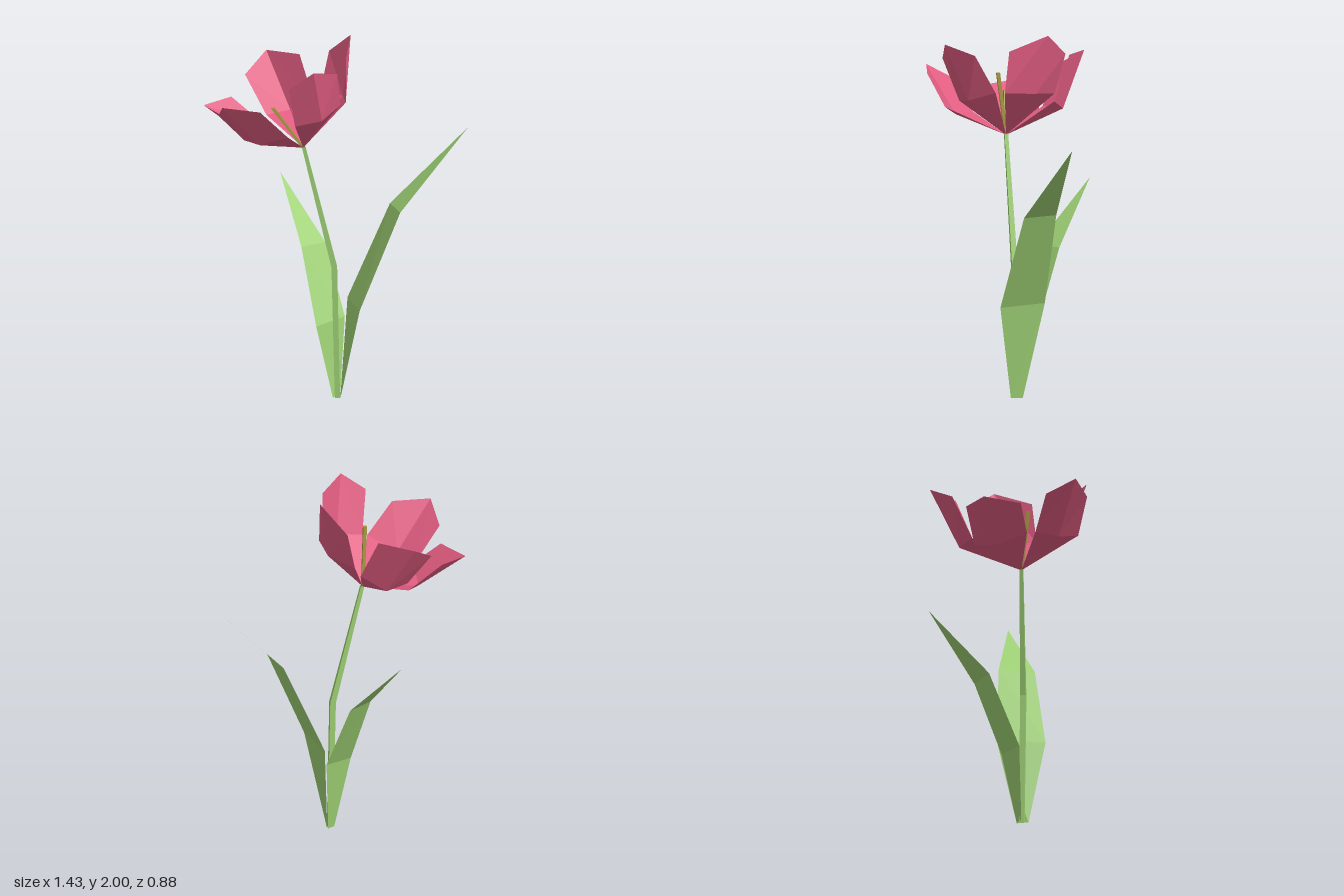
import * as THREE from 'three';

const make = (name, color) => {
  const m = new THREE.MeshStandardMaterial({ color, flatShading: true, side: THREE.DoubleSide });
  m.name = name;
  return m;
};

// Faceted sheet from cross-section rows; a one-point row closes to a tip.
function sheet(rows) {
  const pos = [];
  const width = Math.max(...rows.map(r => r.length));
  const at = (row, i) => row[Math.min(i, row.length - 1)];
  const tri = (a, b, c) => {
    if (a !== b && b !== c && a !== c) pos.push(...a, ...b, ...c);
  };
  for (let r = 0; r < rows.length - 1; r++) {
    for (let i = 0; i < width - 1; i++) {
      const a = at(rows[r], i), b = at(rows[r], i + 1);
      const c = at(rows[r + 1], i + 1), d = at(rows[r + 1], i);
      tri(a, b, c);
      tri(a, c, d);
    }
  }
  const g = new THREE.BufferGeometry();
  g.setAttribute('position', new THREE.Float32BufferAttribute(pos, 3));
  g.computeVertexNormals();
  return g;
}

// Tapered rod through a list of [x, y, z, radius] points.
function rod(points, sides) {
  const rows = points.map(([x, y, z, r]) => {
    const ring = [];
    for (let i = 0; i < sides; i++) {
      const a = -(i / sides) * Math.PI * 2 + Math.PI / 4;
      ring.push([x + r * Math.cos(a), y, z + r * Math.sin(a)]);
    }
    return [...ring, ring[0].slice()];
  });
  return sheet(rows);
}

export function createModel() {
  const model = new THREE.Group();
  model.name = 'flower';
  const green = make('leaf green', 0x9ed074);
  const pink = make('petal pink', 0xe05c80);
  const olive = make('stamen olive', 0xa39640);
  const add = (name, geometry, material) => {
    const mesh = new THREE.Mesh(geometry, material);
    mesh.name = name;
    model.add(mesh);
  };

  const base = [-0.18, 1.415, 0.05];

  // Bent stem
  add('stem', rod([
    [0.005, 0, 0.03, 0.02],
    [-0.012, 0.74, 0.04, 0.022],
    [-0.178, 1.42, 0.05, 0.014],
  ], 4), green);

  // Two folded leaves, each ending in a point
  add('leftLeaf', sheet([
    [[0.02, 0, 0.065], [0.025, 0, 0]],
    [[0.125, 0.52, 0.145], [0.06, 0.525, -0.115]],
    [[0.345, 1.05, 0.06], [0.29, 1.05, -0.13]],
    [[0.715, 1.48, -0.13]],
  ]), green);
  add('backLeaf', sheet([
    [[0.02, 0, 0], [-0.02, 0, 0.03]],
    [[0.045, 0.425, -0.085], [-0.11, 0.4, 0.03]],
    [[-0.06, 0.805, -0.22], [-0.19, 0.805, -0.125]],
    [[-0.305, 1.14, -0.44]],
  ]), green);

  // Petals: middle row and outer row, joined at the flower base
  const petals = {
    rightPetal: [
      [[-0.39, 1.48, -0.18], [-0.47, 1.44, -0.045], [-0.47, 1.5, 0.115]],
      [[-0.57, 1.63, -0.205], [-0.72, 1.615, -0.09], [-0.62, 1.61, 0.1]],
    ],
    backRightPetal: [
      [[-0.12, 1.6, -0.205], [-0.25, 1.535, -0.28], [-0.38, 1.53, -0.195]],
      [[-0.2, 1.84, -0.305], [-0.38, 1.83, -0.425], [-0.495, 1.73, -0.29]],
    ],
    backLeftPetal: [
      [[0.05, 1.685, 0.105], [0.035, 1.675, -0.07], [-0.09, 1.65, -0.2]],
      [[0.05, 1.915, 0.08], [0.077, 2.0, -0.13], [-0.04, 1.875, -0.25]],
    ],
    frontLeftPetal: [
      [[-0.225, 1.605, 0.3], [-0.08, 1.63, 0.28], [0.022, 1.685, 0.15]],
      [[-0.26, 1.835, 0.385], [-0.125, 1.935, 0.4], [0.003, 1.89, 0.26]],
    ],
    frontRightPetal: [
      [[-0.5, 1.49, 0.165], [-0.415, 1.495, 0.28], [-0.265, 1.565, 0.37]],
      [[-0.64, 1.65, 0.24], [-0.62, 1.74, 0.4], [-0.415, 1.725, 0.437]],
    ],
  };
  for (const [name, rows] of Object.entries(petals)) {
    add(name, sheet([[base], ...rows]), pink);
  }

  // Stamens
  [[-0.2, 1.755, 0.09], [-0.345, 1.63, 0.02]].forEach(([x, y, z], i) => {
    add('stamen' + (i + 1), rod([[...base, 0.012], [x, y, z, 0.014], [x, y, z, 0]], 4), olive);
  });

  return model;
}
